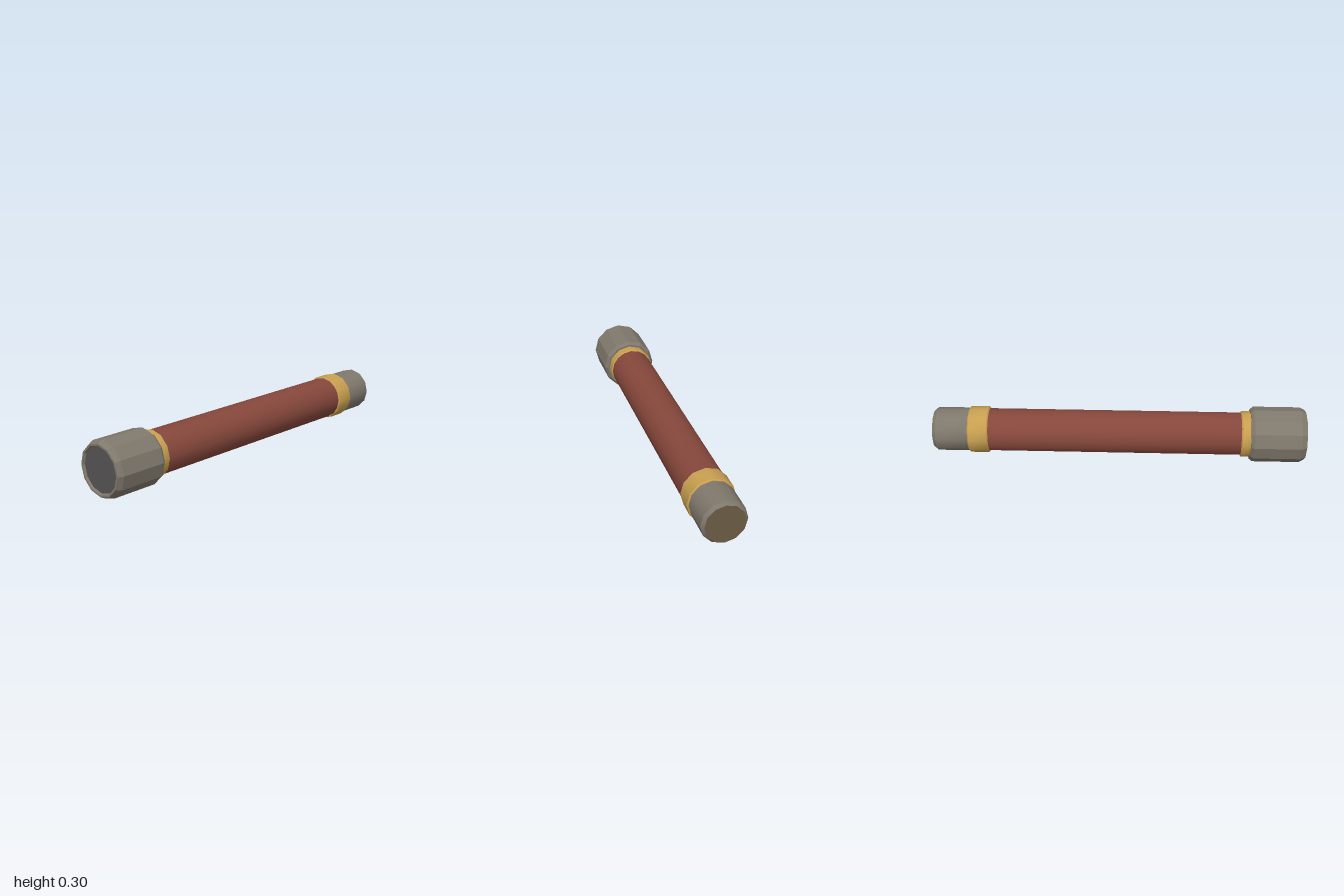
import * as THREE from 'three';
import { toCreasedNormals } from 'three/addons/utils/BufferGeometryUtils.js';

const AXIS_Y = 0.149;

function material(name, color) {
  const m = new THREE.MeshStandardMaterial({ color });
  m.name = name;
  return m;
}

export function createModel() {
  const model = new THREE.Group();
  model.name = 'flashlight';

  const metal = material('warm grey metal', 0x7f786c);
  const red = material('brick red', 0x86473b);
  const gold = material('gold', 0xc79f50);
  const glass = material('dark lens', 0x565355);
  const brown = material('brown cap', 0x6b5b43);

  // Revolve [radius, z] points, listed from back to front, around the z axis.
  function turned(name, mat, profile, sides, crease) {
    const points = profile.map(([r, z]) => new THREE.Vector2(r, z));
    const geometry = toCreasedNormals(new THREE.LatheGeometry(points, sides), crease);
    geometry.rotateX(Math.PI / 2);
    const mesh = new THREE.Mesh(geometry, mat);
    mesh.name = name;
    mesh.position.y = AXIS_Y;
    model.add(mesh);
  }

  // Collar with small bevels on both rims
  function collar(name, z0, z1, r) {
    const b = 0.006;
    turned(name, gold, [
      [0.105, z0], [r - b, z0], [r, z0 + b], [r, z1 - b], [r - b, z1], [0.105, z1],
    ], 12, 0.6);
  }

  // Grip
  turned('grip', red, [[0.116, -0.72], [0.116, 0.67]], 16, 0.6);

  // Collars
  collar('rearCollar', -0.81, -0.7, 0.125);
  collar('frontCollar', 0.655, 0.715, 0.124);

  // Tail and its end cap
  turned('tail', metal, [[0.103, -1], [0.117, -0.982], [0.117, -0.8]], 12, 0.6);
  turned('tailCap', brown, [[0, -1], [0.103, -1]], 12, 0.6);

  // Head with bevelled edges and an inner lip
  turned('head', metal, [
    [0.105, 0.705], [0.135, 0.705], [0.148, 0.722], [0.148, 0.972],
    [0.134, 1], [0.124, 1], [0.118, 0.99],
  ], 12, 0.3);
  turned('lens', glass, [[0.119, 0.99], [0, 0.992]], 12, 0.6);

  return model;
}
